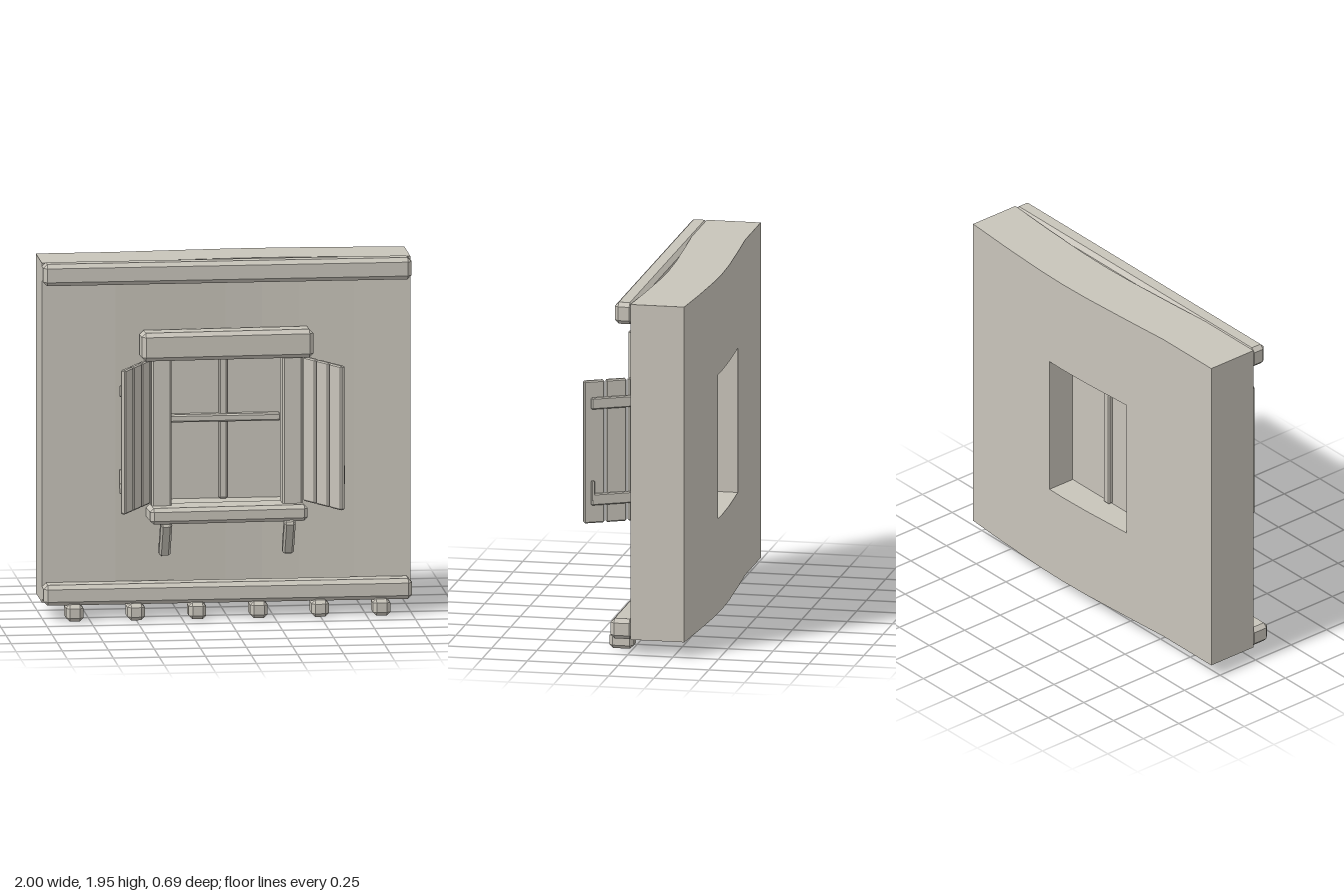
import * as THREE from 'three';
import { ConvexGeometry } from 'three/addons/geometries/ConvexGeometry.js';

const plaster = new THREE.MeshStandardMaterial({ color: 0xc8c4ba });
plaster.name = 'warm grey plaster';

// Box with all twelve edges chamfered by b
function chamferBox(w, h, d, b) {
  const pts = [];
  for (const sx of [-1, 1]) for (const sy of [-1, 1]) for (const sz of [-1, 1]) {
    const x = w / 2, y = h / 2, z = d / 2;
    pts.push(
      new THREE.Vector3(sx * x, sy * (y - b), sz * (z - b)),
      new THREE.Vector3(sx * (x - b), sy * y, sz * (z - b)),
      new THREE.Vector3(sx * (x - b), sy * (y - b), sz * z));
  }
  return new ConvexGeometry(pts);
}

function add(parent, name, geometry, x = 0, y = 0, z = 0) {
  const mesh = new THREE.Mesh(geometry, plaster);
  mesh.name = name;
  mesh.position.set(x, y, z);
  parent.add(mesh);
  return mesh;
}

// Chamfered box given by its extents
function beam(parent, name, [x0, x1], [y0, y1], [z0, z1], b) {
  return add(parent, name, chamferBox(x1 - x0, y1 - y0, z1 - z0, b),
    (x0 + x1) / 2, (y0 + y1) / 2, (z0 + z1) / 2);
}

// Backward bow of the wall along x
const bow = [[-1, 0], [-0.6, 0], [-0.3, 0.02], [0, 0.037], [0.2, 0.042], [0.4, 0.038], [0.7, 0.022], [1, 0]];
function bowAt(x) {
  for (let i = 1; i < bow.length; i++) {
    const [a, u] = bow[i - 1], [b, v] = bow[i];
    if (x <= b) return u + (v - u) * (x - a) / (b - a);
  }
  return 0;
}

// Piece of the bowed wall between two x and two y values
function wallPiece(x0, x1, y0, y1) {
  const xs = [x0, ...bow.map(p => p[0]).filter(x => x > x0 && x < x1), x1];
  const front = xs.map(x => new THREE.Vector2(x, 0.015 + bowAt(x)));
  const back = xs.map(x => new THREE.Vector2(x, 0.312 + bowAt(x))).reverse();
  const g = new THREE.ExtrudeGeometry(new THREE.Shape([...front, ...back]),
    { depth: y1 - y0, bevelEnabled: false });
  return g.rotateX(-Math.PI / 2).translate(0, y0, 0);
}

// Plank shutter; local z runs from the hinge to the free edge
function shutter(side) {
  const g = new THREE.Group();
  g.name = side > 0 ? 'leftShutter' : 'rightShutter';
  for (let i = 0; i < 3; i++) {
    add(g, 'shutterPlank', chamferBox(0.03, 0.79, 0.114, 0.007), 0, 1.015, 0.057 + i * 0.124);
  }
  for (const y of [0.755, 1.287]) {
    add(g, 'shutterBatten', chamferBox(0.022, 0.064, 0.325, 0.006), side * 0.026, y, 0.165);
  }
  add(g, 'shutterHook', chamferBox(0.016, 0.11, 0.018, 0.004), side * 0.03, 0.805, 0.318);
  g.position.set(side * 0.427, 0, 0.008);
  g.rotation.y = side * 0.49;
  return g;
}

export function createModel() {
  const model = new THREE.Group();
  model.name = 'wallWithWindow';

  // Wall around the window opening
  const W = 0.31, Y0 = 0.61, Y1 = 1.41, B = 0.085, T = 1.945;
  const wall = new THREE.Group();
  wall.name = 'wall';
  model.add(wall);
  add(wall, 'wallRight', wallPiece(-1, -W, B, T));
  add(wall, 'wallLeft', wallPiece(W, 1, B, T));
  add(wall, 'wallBelow', wallPiece(-W, W, B, Y0));
  add(wall, 'wallAbove', wallPiece(-W, W, Y1, T));

  // Top and bottom trims with the row of blocks
  beam(model, 'topTrim', [-1, 1], [1.83, 1.95], [-0.03, 0.075], 0.022);
  beam(model, 'bottomTrim', [-1, 1], [0.083, 0.195], [-0.03, 0.098], 0.022);
  for (let i = 0; i < 6; i++) {
    add(model, 'beamEnd', chamferBox(0.095, 0.092, 0.134, 0.02), -0.835 + i * 0.333, 0.046, 0.063);
  }

  // Window frame, slightly askew lintel and sill
  const lintel = beam(model, 'lintel', [-0.47, 0.465], [1.412, 1.567], [-0.05, 0.087], 0.022);
  const sill = beam(model, 'sill', [-0.43, 0.43], [0.523, 0.612], [-0.07, 0.118], 0.02);
  lintel.rotation.y = 0.035;
  sill.rotation.y = 0.04;
  for (const s of [-1, 1]) {
    add(model, 'jamb', chamferBox(0.11, 0.84, 0.14, 0.01), s * 0.355, 1.01, -0.03);
    const bracket = add(model, 'sillBracket', chamferBox(0.062, 0.22, 0.06, 0.012), s * 0.335, 0.435, 0.032);
    bracket.rotation.x = 0.51;
    model.add(shutter(s));
  }

  // Pane and glazing bars
  add(model, 'pane', new THREE.BoxGeometry(2 * W, Y1 - Y0, 0.008), 0, (Y0 + Y1) / 2, -0.185);
  beam(model, 'verticalBar', [-0.023, 0.023], [0.61, 1.41], [-0.215, -0.155], 0.008);
  beam(model, 'horizontalBar', [-0.31, 0.31], [1.035, 1.077], [-0.188, -0.135], 0.008);

  return model;
}
